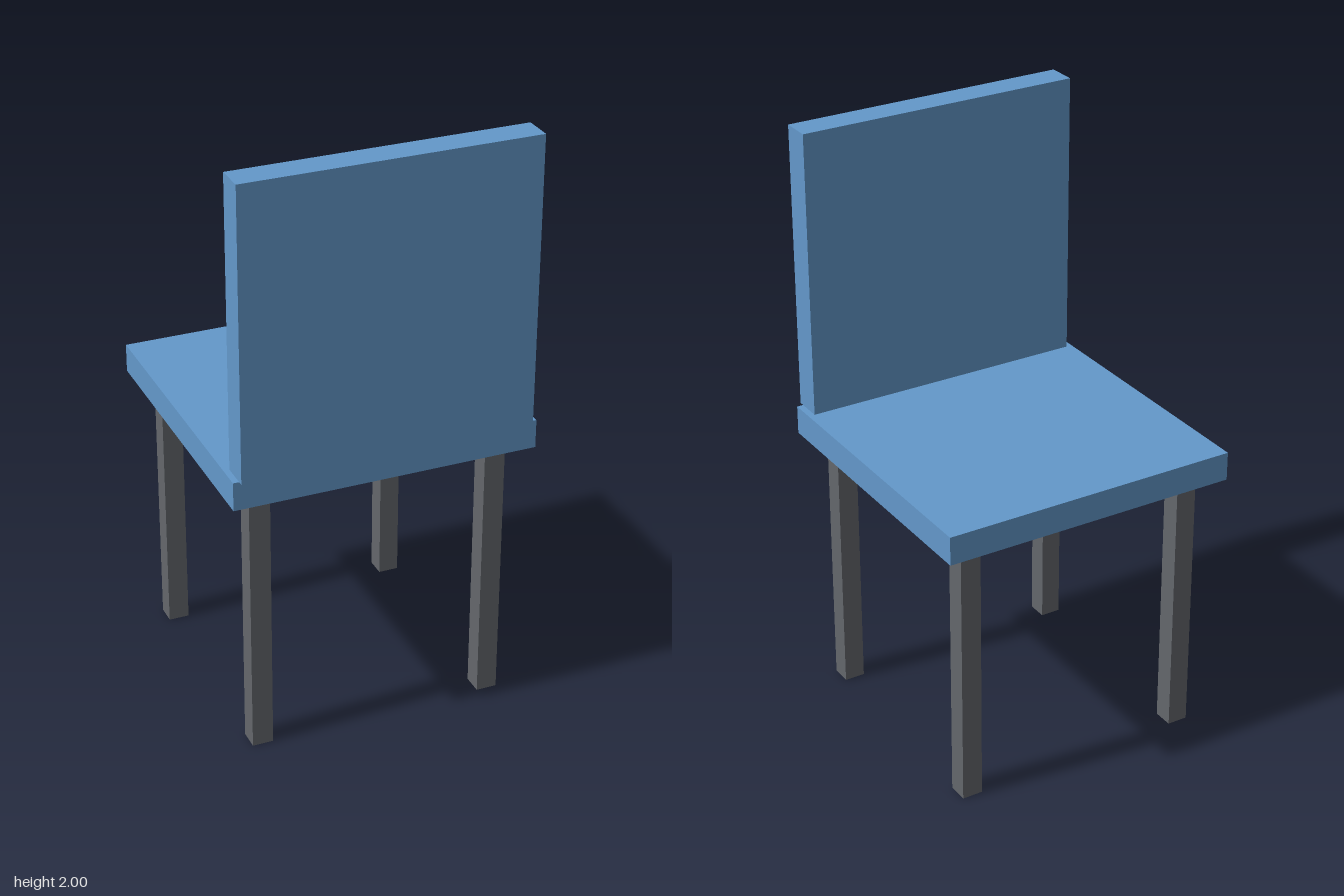
import * as THREE from 'three';

export function createModel() {
  const blue = new THREE.MeshStandardMaterial({ color: 0x6398ca });
  blue.name = 'blue';
  const grey = new THREE.MeshStandardMaterial({ color: 0x64676c });
  grey.name = 'darkGrey';

  const chair = new THREE.Group();
  chair.name = 'chair';

  // Adds a box spanning the given minimum and maximum corners
  function addBox(name, material, min, max) {
    const size = max.map((v, i) => v - min[i]);
    const mesh = new THREE.Mesh(new THREE.BoxGeometry(...size), material);
    mesh.position.set(...max.map((v, i) => (v + min[i]) / 2));
    mesh.name = name;
    chair.add(mesh);
  }

  // Seat slab
  addBox('seat', blue, [-0.51, 0.93, -0.508], [0.51, 1.027, 0.49]);

  // Backrest panel, overhanging the seat edge slightly
  addBox('backrest', blue, [-0.49, 1.027, 0.408], [0.488, 2, 0.508]);

  // Four square legs
  const legWidth = 0.07;
  for (const [side, x] of [['Left', 0.365], ['Right', -0.437]]) {
    for (const [end, z] of [['backrest', 0.358], ['open', -0.441]]) {
      addBox(`${end}${side}Leg`, grey, [x, 0, z], [x + legWidth, 0.93, z + legWidth]);
    }
  }

  return chair;
}
